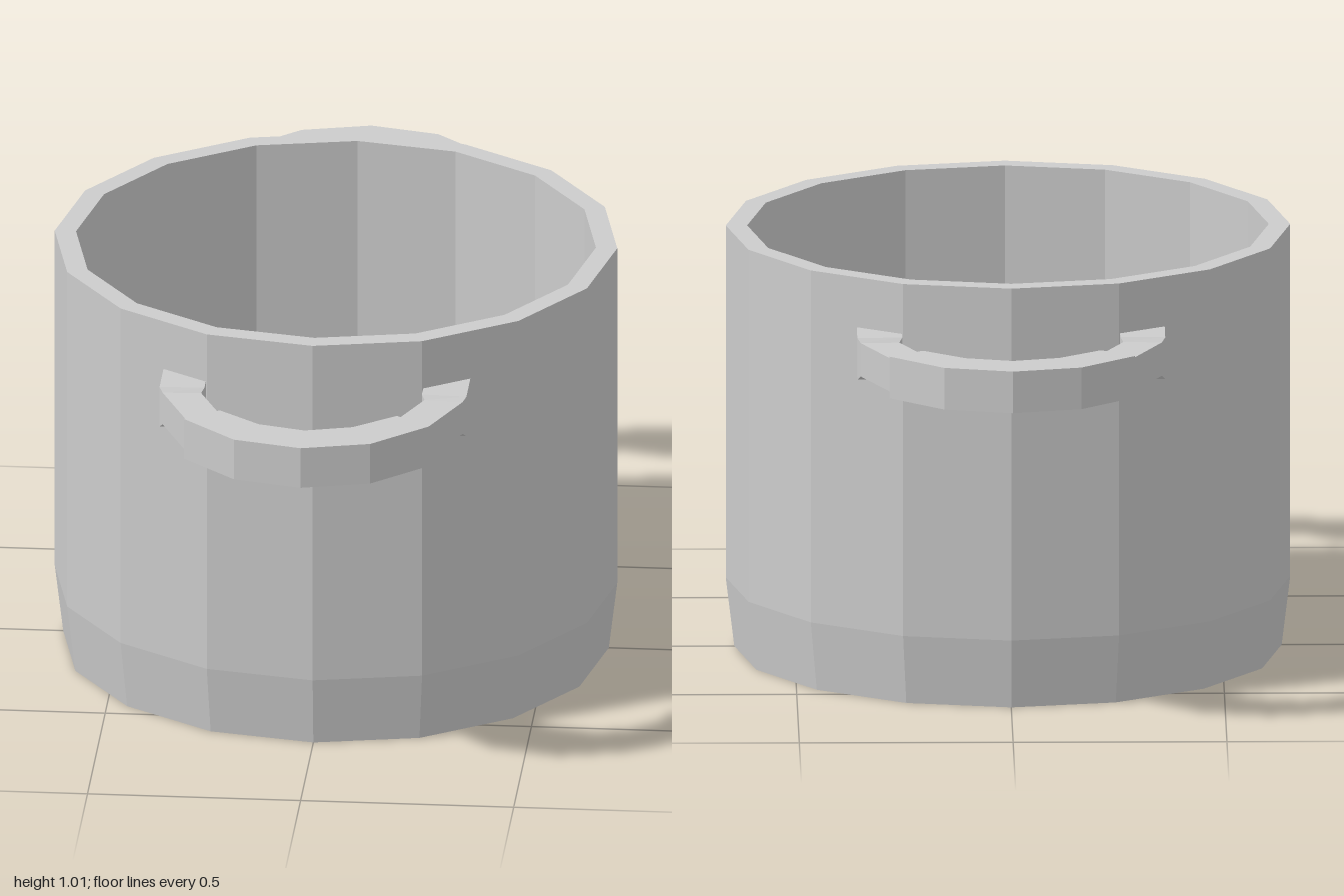
import * as THREE from 'three';

const HANDLE_Y = 0.84;

// Faceted normals
function faceted(geometry) {
  const g = geometry.index ? geometry.toNonIndexed() : geometry;
  g.computeVertexNormals();
  return g;
}

// Pot: 16-sided shell with a tapered foot, a flat rim and an inner floor
function potGeometry() {
  const profile = [
    [0, 0], [0.64, 0], [0.66, 0.165], [0.66, 1.01],
    [0.61, 1.01], [0.61, 0.05], [0, 0.05],
  ].map(([r, y]) => new THREE.Vector2(r, y));
  return faceted(new THREE.LatheGeometry(profile, 16));
}

// Handle: rectangular sections swept around a loop, slimmer between the joints
function handleGeometry() {
  // inner x, inner z, outer x, outer z, half height
  const half = [
    [0.255, 0.59, 0.36, 0.53, 0.05],
    [0.255, 0.645, 0.36, 0.65, 0.05],
    [0.262, 0.655, 0.352, 0.66, 0.04],
    [0.212, 0.772, 0.28, 0.83, 0.04],
    [0.208, 0.782, 0.287, 0.842, 0.05],
    [0.11, 0.86, 0.16, 0.96, 0.05],
  ];
  const mirrored = half.map(([xi, zi, xo, zo, h]) => [-xi, zi, -xo, zo, h]).reverse();
  const stations = [...half, [0, 0.89, 0, 1, 0.05], ...mirrored];

  const positions = [];
  for (const [xi, zi, xo, zo, h] of stations) {
    const lo = HANDLE_Y - h, hi = HANDLE_Y + h;
    positions.push(xi, lo, zi, xo, lo, zo, xo, hi, zo, xi, hi, zi);
  }
  const index = [];
  for (let s = 0; s < stations.length - 1; s++) {
    for (let k = 0; k < 4; k++) {
      const a = s * 4 + k, b = s * 4 + (k + 1) % 4;
      index.push(a, b, b + 4, a, b + 4, a + 4);
    }
  }
  const g = new THREE.BufferGeometry();
  g.setAttribute('position', new THREE.Float32BufferAttribute(positions, 3));
  g.setIndex(index);
  return faceted(g);
}

export function createModel() {
  const metal = new THREE.MeshStandardMaterial({ color: 0xcccccc });
  metal.name = 'light grey metal';

  const model = new THREE.Group();
  model.name = 'cookingPot';

  const pot = new THREE.Mesh(potGeometry(), metal);
  pot.name = 'pot';
  model.add(pot);

  // Matching handles at front and back
  const loop = handleGeometry();
  ['frontHandle', 'backHandle'].forEach((name, i) => {
    const handle = new THREE.Mesh(loop, metal);
    handle.name = name;
    handle.rotation.y = i * Math.PI;
    model.add(handle);
  });

  return model;
}
